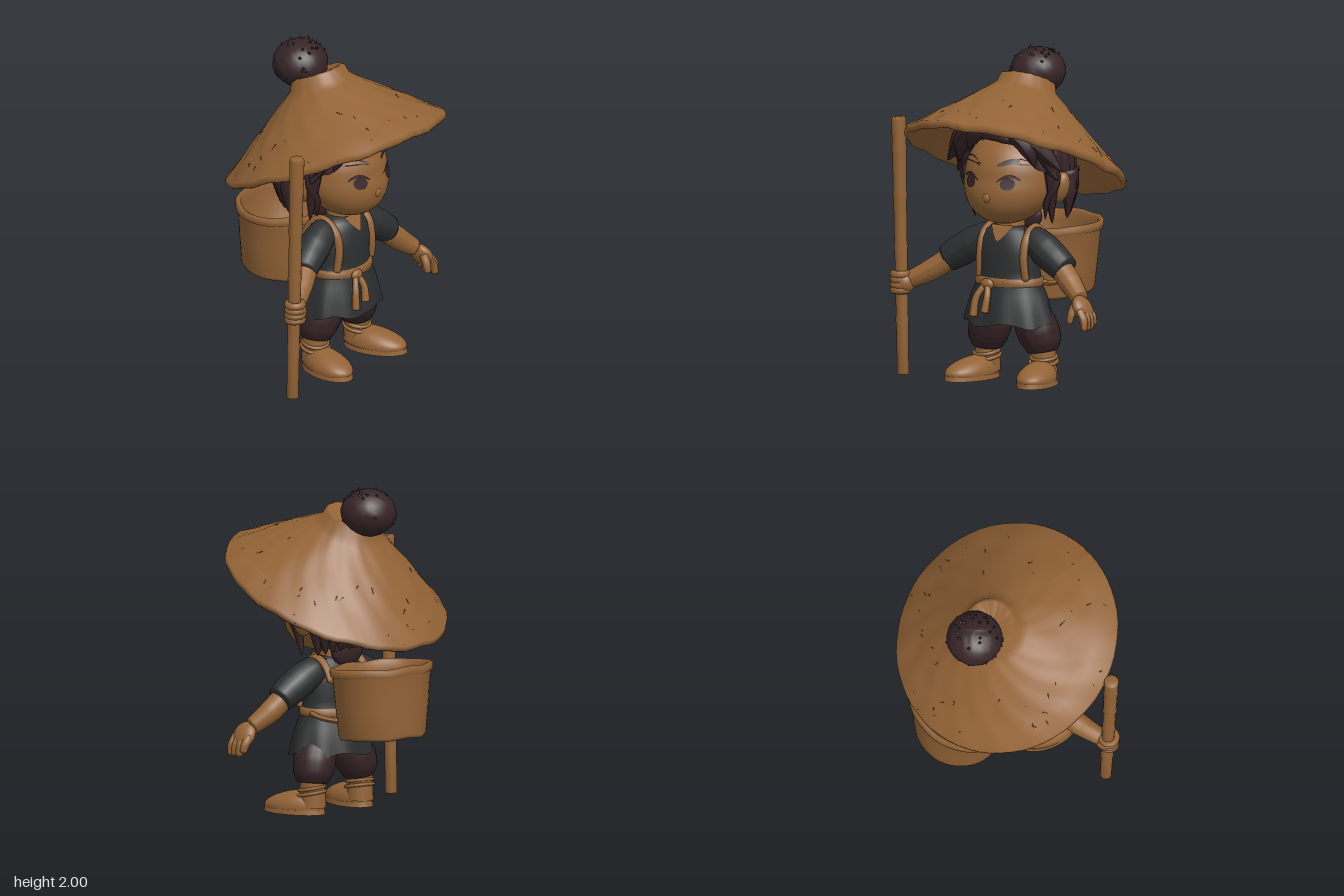
import * as THREE from 'three';
import { mergeGeometries } from 'three/addons/utils/BufferGeometryUtils.js';
import { ParametricGeometry } from 'three/addons/geometries/ParametricGeometry.js';

const V = (x, y, z) => new THREE.Vector3(x, y, z);
const material = (name, color) => {
  const m = new THREE.MeshStandardMaterial({ color, side: THREE.DoubleSide });
  m.name = name;
  return m;
};
let seed = 7;
const rand = () => (seed = (seed * 16807) % 2147483647) / 2147483647;

// Apply a rule to every vertex, then refresh the normals
function bend(geo, rule) {
  const p = geo.attributes.position, v = V();
  for (let i = 0; i < p.count; i++) {
    rule(v.fromBufferAttribute(p, i));
    p.setXYZ(i, v.x, v.y, v.z);
  }
  geo.computeVertexNormals();
  return geo;
}

// Closed tube whose radius changes along a smooth path
function limb(points, radii, sides = 12, n = 24) {
  const curve = new THREE.CatmullRomCurve3(points.map(p => V(...p)));
  const geo = new THREE.TubeGeometry(curve, n, 1, sides);
  let k = 0;
  return bend(geo, v => {
    const i = Math.floor(k++ / (sides + 1)), c = curve.getPointAt(i / n);
    const t = (i / n) * (radii.length - 1), a = Math.min(Math.floor(t), radii.length - 2);
    const r = i === 0 || i === n ? 0.001 : THREE.MathUtils.lerp(radii[a], radii[a + 1], t - a);
    v.sub(c).multiplyScalar(r).add(c);
  });
}
const lathe = (profile, sides = 40) =>
  new THREE.LatheGeometry(profile.map(p => new THREE.Vector2(...p)), sides);

export function createModel() {
  const model = new THREE.Group();
  const tan = material('warm tan', 0x936336), hair = material('dark hair', 0x372427);
  const cloth = material('charcoal cloth', 0x2d2e2f), plum = material('dark trousers', 0x352225);
  const add = (name, geo, mat, parent = model) => {
    const m = new THREE.Mesh(geo, mat);
    m.name = name;
    parent.add(m);
    return m;
  };
  const ball = (name, mat, pos, size, parent) => {
    const m = add(name, new THREE.SphereGeometry(1, 24, 16), mat, parent);
    m.position.set(...pos);
    m.scale.set(...size);
    return m;
  };
  const CX = 0.03;

  // Head with the jaw carried forward
  add('head', bend(new THREE.SphereGeometry(1, 40, 28), v =>
    v.set(CX + 0.295 * v.x, 1.25 + 0.285 * v.y, 0.02 + 0.295 * v.z + 0.1 * Math.max(0, -v.y))), tan);
  const faceZ = (x, y) => {
    const a = (x - CX) / 0.295, b = (y - 1.25) / 0.285;
    return 0.02 + 0.295 * Math.sqrt(Math.max(0, 1 - a * a - b * b)) + 0.1 * Math.max(0, -b);
  };
  const decal = (name, pts, mat, zRule) => add(name, bend(
    new THREE.ShapeGeometry(new THREE.Shape(pts.map(p => new THREE.Vector2(...p)))),
    v => { v.z = zRule(v.x, v.y); }), mat);
  const onFace = (x, y) => faceZ(x, y) + 0.007;
  ball('nose', tan, [CX, 1.145, 0.312], [0.034, 0.034, 0.028]);
  for (const s of [-1, 1]) {
    const X = d => CX + s * d;
    ball('ear', tan, [X(0.31), 1.19, -0.015], [0.055, 0.1, 0.055]).rotation.z = -s * 0.3;
    const iris = [], lash = [], brow = [];
    for (let i = 0; i < 16; i++) {
      const a = i / 16 * Math.PI * 2;
      iris.push([X(0.13) + 0.042 * Math.cos(a), 1.235 + 0.038 * Math.sin(a)]);
    }
    for (let i = 0; i <= 8; i++) {
      const t = i / 8;
      lash.push([X(0.065 + 0.13 * t), 1.25 + 0.043 * Math.sin(t * 2.8)]);
      brow.push([X(0.06 + 0.18 * t), 1.35 + 0.036 * Math.sin(t * 3)]);
    }
    for (let i = 8; i >= 0; i--) {
      const t = i / 8;
      lash.push([X(0.065 + 0.13 * t), 1.243 + 0.028 * Math.sin(t * 2.8)]);
      brow.push([X(0.06 + 0.18 * t), 1.335 + 0.016 * Math.sin(t * 3)]);
    }
    decal('iris', iris, hair, onFace);
    decal('eyelash', lash, hair, onFace);
    decal('eyebrow', brow, hair, onFace);
  }

  // Hair shell: fringe over the brow, above the ears, long and ragged behind
  add('hairCap', new ParametricGeometry((u, v, out) => {
    const a = (u - 0.5) * Math.PI * 2, side = Math.abs(a);
    const S = THREE.MathUtils.smoothstep;
    const low = 1.485 - 0.2 * S(side, 0.4, 1.1) - 0.27 * S(side, 1.7, 1.9)
      + 0.06 * S(side, 2.2, 3.1) + 0.02 * Math.abs(((u * 36) % 2) - 1);
    const top = 1.32 + 0.34 * Math.cos(v * Math.PI / 2);
    const y = v < 0.55 ? top : THREE.MathUtils.lerp(1.32 + 0.34 * Math.cos(0.275 * Math.PI), low, (v - 0.55) / 0.45);
    const h = (y - 1.32) / 0.34;
    const r = h > 0 ? Math.sqrt(Math.max(0, 1 - h * h)) : 1 - 0.14 * h * h;
    const wave = 1 + 0.02 * Math.sin(a * 24) * v;
    out.set(CX + 0.34 * r * wave * Math.sin(a), y, -0.03 + 0.36 * r * wave * Math.cos(a));
  }, 144, 24), hair);
  ball('napeHair', hair, [CX, 0.99, -0.09], [0.13, 0.1, 0.05]);
  const lock = (s, pts, radii) =>
    add('hairLock', limb(pts.map(([d, y, z]) => [CX + s * d, y, z]), radii, 8, 14), hair);
  // Middle fringe, swept to one side
  lock(1, [[-0.12, 1.57, 0.24], [-0.03, 1.55, 0.28], [0.08, 1.53, 0.28], [0.2, 1.47, 0.25]], [0.05, 0.055, 0.05, 0.004]);
  lock(-1, [[-0.02, 1.57, 0.25], [0.06, 1.55, 0.28], [0.13, 1.5, 0.27], [0.16, 1.42, 0.27]], [0.045, 0.055, 0.045, 0.004]);
  // Side fringe, long strands before the ears and the ragged back
  for (const s of [-1, 1]) {
    lock(s, [[0.08, 1.57, 0.26], [0.18, 1.52, 0.25], [0.24, 1.44, 0.23], [0.27, 1.33, 0.2]], [0.05, 0.06, 0.05, 0.004]);
    lock(s, [[0.12, 1.56, 0.22], [0.24, 1.5, 0.2], [0.32, 1.41, 0.15], [0.41, 1.31, 0.12]], [0.05, 0.065, 0.05, 0.004]);
    lock(s, [[0.2, 1.52, 0.18], [0.29, 1.42, 0.13], [0.31, 1.32, 0.1], [0.36, 1.25, 0.09]], [0.05, 0.065, 0.05, 0.004]);
    lock(s, [[0.28, 1.42, 0.08], [0.3, 1.27, 0.07], [0.28, 1.12, 0.04], [0.275, 0.97, 0.02]], [0.05, 0.05, 0.035, 0.006]);
    lock(s, [[0.3, 1.35, 0.05], [0.32, 1.22, 0.06], [0.27, 1.12, 0.07], [0.25, 1.0, 0.06]], [0.04, 0.03, 0.025, 0.004]);
    for (let i = 0; i < 9; i++) {
      const a = 1.88 + i * 0.15, x = Math.sin(a) * 0.315, z = Math.cos(a) * 0.33 - 0.03;
      lock(s, [[x, 1.3, z], [x, 1.15, z], [x * 0.95, 0.985 + 0.012 * i, z]], [0.05, 0.045, 0.008]);
    }
  }

  // Wide straw hat, tipped back, with a raised collar
  const hat = new THREE.Group();
  hat.name = 'strawHat';
  hat.position.set(CX, 1.355, 0);
  hat.rotation.x = -0.408;
  model.add(hat);
  const hatRule = v => {
    const r = Math.hypot(v.x, v.z), a = Math.atan2(v.x, v.z);
    v.y += 0.007 * r * (Math.sin(a * 9 + r * 14) + Math.sin(a * 17 - r * 22));
    v.x *= 1 - 0.1 * r;
    v.z += 0.11 * v.y;
  };
  add('hatCone', bend(lathe([[0.1, 0.43], [0.2, 0.355], [0.45, 0.165], [0.67, -0.005], [0.7, -0.03], [0.722, -0.015],
    [0.718, 0.015], [0.6, 0.095], [0.53, 0.148], [0.47, 0.195], [0.405, 0.243], [0.342, 0.29], [0.285, 0.335],
    [0.23, 0.376], [0.188, 0.413], [0.17, 0.468], [0.15, 0.478], [0.1, 0.465], [0, 0.46]], 64), hatRule), tan, hat);
  const straws = [];
  for (let i = 0; i < 50; i++) {
    const a = rand() * Math.PI * 2, r = 0.26 + 0.45 * Math.sqrt(rand());
    const c = new THREE.ConeGeometry(0.004, 0.035 + 0.03 * rand(), 4);
    c.rotateX(2.1 + 0.25 * rand()).rotateY((rand() - 0.5) * 2);
    c.translate(0, 0.553 - 0.77 * r + 0.004, r).rotateY(a);
    straws.push(c.translate(-0.1 * r * r * Math.sin(a), 0, 0.11 * (0.553 - 0.77 * r)));
  }
  add('looseStraws', mergeGeometries(straws), tan, hat);

  // Topknot with tufts lying along its surface
  const bun = new THREE.Group();
  bun.name = 'topknot';
  bun.position.set(0.022, 1.842, -0.265);
  model.add(bun);
  add('bun', bend(new THREE.SphereGeometry(0.168, 32, 20), v => {
    v.multiplyScalar(1 + 0.02 * Math.sin(v.x * 90) * Math.sin(v.z * 80 + v.y * 50));
    v.y *= 0.86;
  }), hair, bun);
  const tufts = [];
  for (let i = 0; i < 32; i++) {
    const d = V(rand() - 0.5, rand() * 0.9 - 0.2, rand() - 0.5).normalize();
    const c = new THREE.ConeGeometry(0.035, 0.075, 6);
    const lean = V(-d.z, 0.5, d.x).multiplyScalar(0.7).add(d).normalize();
    c.applyQuaternion(new THREE.Quaternion().setFromUnitVectors(V(0, 1, 0), lean));
    tufts.push(c.translate(d.x * 0.15, d.y * 0.126, d.z * 0.15));
  }
  add('bunTufts', mergeGeometries(tufts), hair, bun);

  // Tunic with a flared, folded skirt
  const tunic = add('tunic', bend(lathe([[0.292, 0.355], [0.275, 0.43], [0.245, 0.53], [0.208, 0.61], [0.2, 0.68],
    [0.205, 0.78], [0.185, 0.87], [0.15, 0.92], [0.1, 0.945], [0.07, 0.95]], 60), v => {
    const a = Math.atan2(v.x, v.z), f = Math.max(0, 0.6 - v.y) / 0.24;
    const k = 1 + 0.03 * f * Math.sin(a * 9);
    v.set(v.x * k, v.y + 0.015 * f * Math.sin(a * 5), v.z * k * 0.72);
  }), cloth);
  tunic.position.set(0.02, 0, 0.05);
  const neck = add('neck', new THREE.CylinderGeometry(0.08, 0.09, 0.16, 20), tan);
  neck.position.set(0.025, 0.96, 0.04);
  decal('neckOpening', [[-0.06, 0.955], [0.023, 0.855], [0.107, 0.955]], tan, (x, y) => 0.2 - 0.65 * (y - 0.855));
  const belt = add('belt', lathe([[0.2, 0.585], [0.222, 0.59], [0.222, 0.632], [0.2, 0.637]]), tan);
  belt.position.copy(tunic.position);
  belt.scale.z = 0.74;
  ball('beltKnot', tan, [-0.035, 0.6, 0.215], [0.045, 0.035, 0.025]);
  add('beltTail', limb([[-0.05, 0.6, 0.215], [-0.09, 0.52, 0.25], [-0.105, 0.4, 0.265]], [0.018, 0.022, 0.026]), tan);
  add('beltTail', limb([[-0.03, 0.6, 0.215], [-0.012, 0.53, 0.25], [-0.02, 0.43, 0.27]], [0.018, 0.022, 0.026]), tan);

  // Trousers, feet and pack straps on both sides
  for (const s of [-1, 1]) {
    const X = d => CX + s * d;
    add('trouserLeg', limb([[X(0.1), 0.48, 0.04], [X(0.14), 0.39, 0.03], [X(0.185), 0.27, 0.01], [X(0.2), 0.175, 0.005]],
      [0.06, 0.105, 0.128, 0.13, 0.12, 0.085], 20), plum);
    const foot = new THREE.Group();
    foot.name = 'foot';
    foot.position.set(X(0.203), 0, 0);
    foot.rotation.y = s * 0.24;
    model.add(foot);
    add('ankle', new THREE.CylinderGeometry(0.075, 0.082, 0.17, 16), tan, foot).position.y = 0.125;
    // Rounded shoe, low at the toe, standing on a thin sole
    add('shoe', bend(new THREE.SphereGeometry(1, 32, 24), v => v.set(0.112 * v.x * (1 + 0.08 * v.z),
      Math.max(0.005, 0.04 + v.y * (0.095 - 0.03 * v.z)), 0.125 + 0.2 * v.z)), tan, foot);
    const sole = add('sole', new THREE.CylinderGeometry(0.97, 1, 0.03, 32), tan, foot);
    sole.position.set(0, 0.015, 0.125);
    sole.scale.set(0.116, 1, 0.205);
    for (const [y, r] of [[0.155, 0.077], [0.125, 0.083]]) {
      const wrap = add('ankleWrap', new THREE.TorusGeometry(r, 0.011, 8, 24), tan, foot);
      wrap.position.set(0, y, 0.005);
      wrap.rotation.x = Math.PI / 2 + 0.2;
    }
    add('packStrap', limb([[X(0.16), 0.8, -0.12], [X(0.155), 0.9, -0.06], [X(0.15), 0.94, 0.02], [X(0.155), 0.88, 0.12],
      [X(0.155), 0.77, 0.15], [X(0.165), 0.62, 0.14]], [0.024, 0.026, 0.024], 8, 40), tan);
    add('lowerStrap', limb([[X(0.2), 0.61, 0.02], [X(0.2), 0.59, -0.08], [X(0.17), 0.58, -0.19]], [0.017, 0.017], 8), tan);
  }

  // Right arm, closed around the staff
  add('rightSleeve', limb([[-0.04, 0.87, 0.03], [-0.15, 0.855, 0.04], [-0.28, 0.785, 0.06], [-0.41, 0.7, 0.09]],
    [0.07, 0.09, 0.1, 0.095, 0.082], 18), cloth);
  add('rightForearm', limb([[-0.34, 0.74, 0.08], [-0.48, 0.64, 0.14], [-0.61, 0.57, 0.2]], [0.07, 0.068, 0.052], 16), tan);
  ball('rightPalm', tan, [-0.628, 0.56, 0.215], [0.068, 0.07, 0.068]);
  for (let i = 0; i < 4; i++) {
    const finger = add('rightFinger', new THREE.TorusGeometry(0.044, 0.023, 8, 20), tan);
    finger.position.set(-0.645, 0.515 + i * 0.032, 0.225);
    finger.rotation.x = Math.PI / 2;
  }
  const staff = add('staff', lathe([[0, 0], [0.036, 0], [0.037, 0.3], [0.041, 0.33], [0.037, 0.36], [0.039, 0.75], [0.043, 0.78],
    [0.039, 0.81], [0.04, 1.06], [0.045, 1.09], [0.041, 1.12], [0.043, 1.35], [0.047, 1.38], [0.043, 1.41],
    [0.046, 1.555], [0.038, 1.57], [0, 1.57]], 16), tan);
  staff.position.set(-0.643, 0, 0.203);
  staff.rotation.set(0.025, 0, 0.004);

  // Left arm, open hand hanging outward
  add('leftSleeve', limb([[0.09, 0.87, 0.03], [0.2, 0.855, 0.04], [0.32, 0.785, 0.06], [0.45, 0.7, 0.08]],
    [0.07, 0.09, 0.1, 0.095, 0.082], 18), cloth);
  add('leftForearm', limb([[0.38, 0.74, 0.07], [0.5, 0.63, 0.11], [0.6, 0.55, 0.16]], [0.07, 0.07, 0.052], 16), tan);
  const palm = ball('leftPalm', tan, [0.628, 0.505, 0.185], [0.045, 0.085, 0.08]);
  palm.rotation.z = 0.5;
  for (let i = 0; i < 4; i++) {
    const z = 0.135 + i * 0.035, d = i === 0 ? 0.025 : 0;
    add('leftFinger', limb([[0.63, 0.51, z], [0.67, 0.45, z + 0.005], [0.68, 0.375 + d, z + 0.01]], [0.026, 0.027, 0.021], 8, 12), tan);
  }
  add('leftThumb', limb([[0.6, 0.53, 0.22], [0.59, 0.47, 0.255], [0.585, 0.415, 0.265]], [0.028, 0.025, 0.018], 8, 12), tan);

  // Open oval pack basket with a rolled rim
  add('basket', bend(lathe([[0, 0], [0.76, 0], [0.79, 0.02], [0.87, 0.2], [0.95, 0.385], [1, 0.395], [1.01, 0.43], [0.97, 0.445],
    [0.9, 0.43], [0.88, 0.38], [0.74, 0.035], [0, 0.03]], 48), v => {
    const t = v.y / 0.44;
    v.set(0.03 + 0.343 * v.x, v.y + 0.49, -0.392 + 0.01 * t + v.z * (0.325 - 0.055 * t));
    v.y -= 0.08 * (v.z + 0.39) + 0.004 * t - 0.005 * Math.sin(v.x * 25);
  }), tan);
  return model;
}
